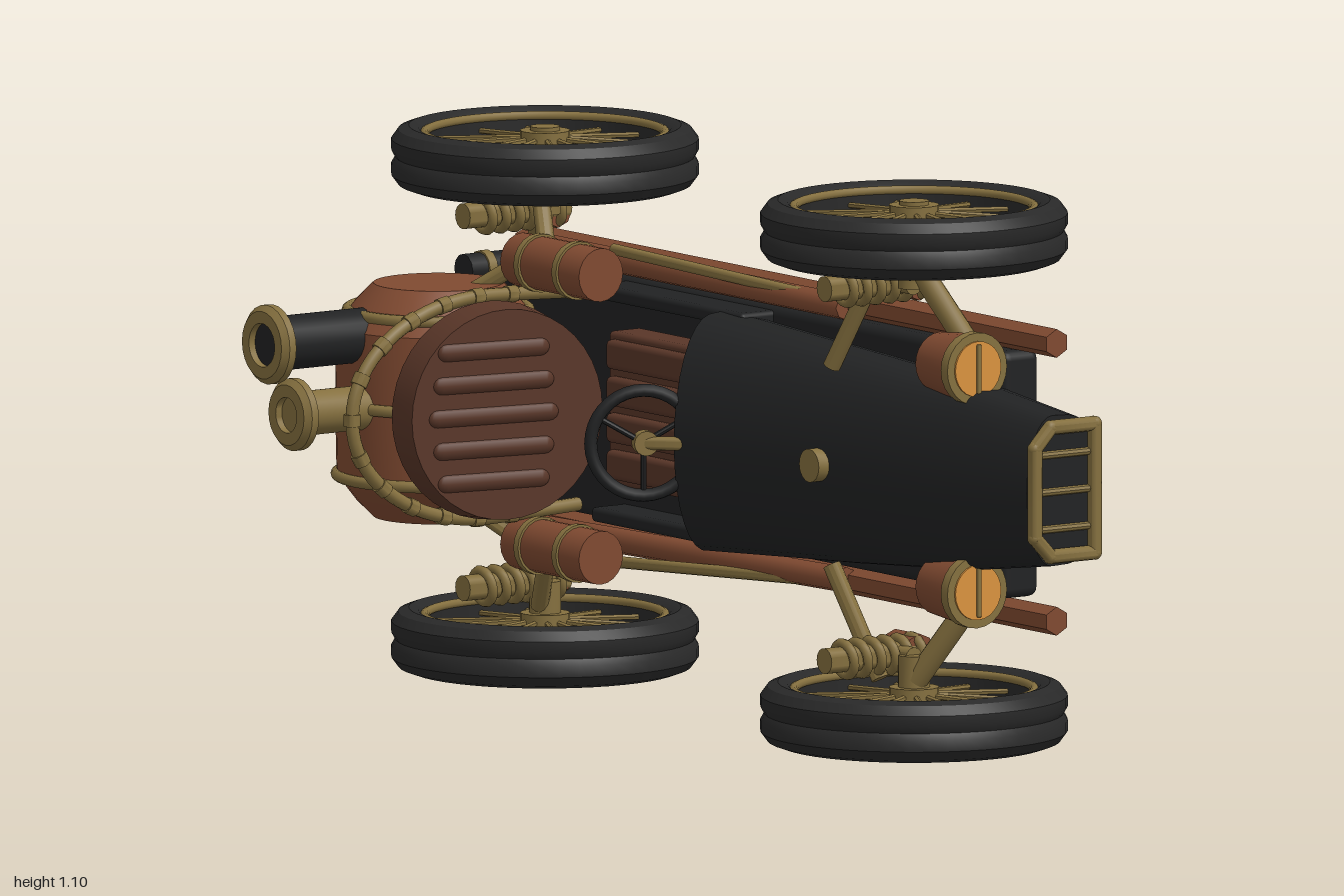
import * as THREE from 'three';
import { toCreasedNormals } from 'three/addons/utils/BufferGeometryUtils.js';
import { RoundedBoxGeometry } from 'three/addons/geometries/RoundedBoxGeometry.js';

const mat = (name, color) => {
  const m = new THREE.MeshStandardMaterial({ color });
  m.name = name;
  return m;
};
const black = mat('black paint', 0x212223);
const rubber = mat('rubber', 0x292929);
const brass = mat('brass', 0x85703f);
const copper = mat('copper', 0x804a31);
const leather = mat('leather', 0x593628);
const amber = mat('amber glass', 0xd9933f);

const V = (x, y, z) => new THREE.Vector3(x, y, z);
const UP = V(0, 1, 0);

function add(parent, name, geo, material, x = 0, y = 0, z = 0) {
  const m = new THREE.Mesh(geo, material);
  m.name = name;
  m.position.set(x, y, z);
  parent.add(m);
  return m;
}
// Cylinder between two points
function rod(parent, name, a, b, r, material, sides = 16, r2 = r) {
  const geo = toCreasedNormals(new THREE.CylinderGeometry(r2, r, a.distanceTo(b), sides), 0.8);
  const m = add(parent, name, geo, material);
  m.position.copy(a).add(b).multiplyScalar(0.5);
  m.quaternion.setFromUnitVectors(UP, b.clone().sub(a).normalize());
  return m;
}
const box = (parent, name, w, h, d, material, x, y, z, r = 0.01) =>
  add(parent, name, new RoundedBoxGeometry(w, h, d, 2, r), material, x, y, z);
// Turned shape from [radius, height] pairs
const lathe = (points, segments = 48) =>
  toCreasedNormals(new THREE.LatheGeometry(points.map(p => new THREE.Vector2(...p)), segments), 0.55);

// Spoked wheel, axle along z
function wheel(parent, name, x, s) {
  const g = new THREE.Group();
  g.name = name;
  g.position.set(x, -0.148, s * 0.486);
  const profile = [[0.236, -0.04], [0.252, -0.056], [0.272, -0.0625], [0.293, -0.055], [0.307, -0.036],
    [0.307, -0.014], [0.299, 0], [0.307, 0.014], [0.307, 0.036], [0.293, 0.055], [0.272, 0.0625],
    [0.252, 0.056], [0.236, 0.04], [0.236, -0.04]];
  add(g, 'tyre', lathe(profile), rubber).rotation.x = Math.PI / 2;
  for (const z of [-0.046, 0.046]) add(g, 'rimRing', new THREE.TorusGeometry(0.241, 0.009, 8, 48), brass, 0, 0, z);
  rod(g, 'hub', V(0, 0, -0.052), V(0, 0, 0.052), 0.05, brass, 20);
  rod(g, 'hubCap', V(0, 0, -0.06), V(0, 0, 0.06), 0.03, brass);
  for (let i = 0; i < 24; i++) {
    const a = i * Math.PI / 12, b = a + (i % 4 < 2 ? 0.05 : -0.05), z = i % 2 ? 0.035 : -0.035;
    rod(g, 'spoke', V(0.04 * Math.cos(a), 0.04 * Math.sin(a), z),
      V(0.24 * Math.cos(b), 0.24 * Math.sin(b), z * 0.6), 0.006, brass, 6);
  }
  parent.add(g);
}

// Tapering hood: domed top, rounded-square underside, raked rear edge
function hoodGeometry() {
  const M = 32, pos = [], idx = [];
  const sections = [[0, 0.238, 0.02, -0.13], [0.4, 0.208, -0.04, -0.15], [0.75, 0.183, -0.105, -0.18], [0.97, 0.152, -0.152, -0.215]];
  sections.forEach(([x, w, top, shoulder], i) => {
    for (let j = 0; j < M; j++) {
      const a = j / M * Math.PI * 2, c = Math.cos(a), s = Math.sin(a);
      const upper = j <= M / 2;
      const l = w * (upper ? c : Math.sign(c) * Math.pow(Math.abs(c), 0.6));
      const h = upper ? shoulder + (top - shoulder) * s : shoulder - (shoulder + 0.322) * Math.pow(-s, 0.6);
      const rake = i ? 0 : 0.13 * Math.min(1, (0.02 - h) / 0.22);
      pos.push(x - rake, h, l);
    }
  });
  const last = sections.length - 1;
  for (let i = 0; i < last; i++) for (let j = 0; j < M; j++) {
    const a = i * M + j, d = i * M + (j + 1) % M, b = a + M, c = d + M;
    idx.push(a, b, c, a, c, d);
  }
  for (let j = 1; j < M - 1; j++) {
    idx.push(0, j, j + 1, last * M, last * M + j + 1, last * M + j);
  }
  const g = new THREE.BufferGeometry();
  g.setAttribute('position', new THREE.Float32BufferAttribute(pos, 3));
  g.setIndex(idx);
  return toCreasedNormals(g, 0.5);
}

export function createModel() {
  const model = new THREE.Group();
  model.name = 'vintageRacer';
  // Built with x forward, y up, z sideways, then laid on its side
  const car = new THREE.Group();
  car.name = 'car';
  car.rotation.x = Math.PI / 2;
  car.position.y = 0.55;
  model.add(car);

  // Floor, tub and hood
  box(car, 'floor', 1.75, 0.09, 0.5, black, -0.125, -0.298, 0, 0.02);
  for (const s of [-1, 1]) box(car, 'tubSide', 0.52, 0.14, 0.03, black, -0.3, -0.245, s * 0.225);
  add(car, 'hood', hoodGeometry(), black);
  rod(car, 'fillerCap', V(0.405, -0.06, 0), V(0.405, -0.022, 0), 0.034, brass);

  // Radiator: tubular frame, dark core and bars
  const outline = [[-0.13, -0.308], [0.13, -0.308], [0.13, -0.2], [0.09, -0.162], [-0.09, -0.162], [-0.13, -0.2]];
  const core = new THREE.Shape(outline.map(p => new THREE.Vector2(...p)));
  add(car, 'radiatorCore', new THREE.ExtrudeGeometry(core, { depth: 0.02, bevelEnabled: false }), black, 0.96).rotation.y = Math.PI / 2;
  outline.forEach(([z, y], i) => {
    const [z2, y2] = outline[(i + 1) % outline.length];
    rod(car, 'radiatorFrame', V(0.984, y, z), V(0.984, y2, z2), 0.015, brass, 10);
    add(car, 'radiatorCorner', new THREE.SphereGeometry(0.0155, 10, 8), brass, 0.984, y, z);
  });
  for (const z of [-0.075, 0, 0.075]) rod(car, 'radiatorBar', V(0.982, -0.308, z), V(0.982, -0.165, z), 0.008, brass, 8);

  // Seat cushion and ribbed round backrest
  box(car, 'seatCushion', 0.33, 0.08, 0.31, leather, -0.32, -0.205, 0);
  for (let i = 0; i < 4; i++) box(car, 'cushionRib', 0.3, 0.03, 0.06, leather, -0.32, -0.16, -0.111 + i * 0.074, 0.012);
  const back = new THREE.Group();
  back.name = 'backrest';
  back.position.set(-0.56, 0.05, 0);
  back.rotation.z = 0.16;
  car.add(back);
  rod(back, 'backrestPad', V(-0.035, 0, 0), V(0.04, 0, 0), 0.22, leather, 40, 0.212);
  for (let i = -2; i <= 2; i++) {
    const len = 0.25 - Math.abs(i) * 0.02;
    const rib = add(back, 'backrestRib', new THREE.CapsuleGeometry(0.02, len, 4, 8), leather, 0.036, 0.03, i * 0.066);
    rib.scale.x = 0.7;
  }

  // Hoop around the backrest with collars
  const hoop = [V(-0.635, -0.2, 0.215)];
  for (let i = 0; i <= 24; i++) {
    const a = i / 24 * Math.PI;
    hoop.push(V(-0.635, 0.03 + 0.325 * Math.sin(a), 0.224 * Math.cos(a)));
  }
  hoop.push(V(-0.635, -0.2, -0.215));
  const curve = new THREE.CatmullRomCurve3(hoop);
  add(car, 'hoop', new THREE.TubeGeometry(curve, 60, 0.014, 10), brass);
  for (let i = 2; i < 15; i++) {
    const p = curve.getPointAt(i / 16), t = curve.getTangentAt(i / 16).multiplyScalar(0.012);
    rod(car, 'hoopCollar', p.clone().sub(t), p.clone().add(t), 0.017, brass, 10);
  }

  // Steering wheel
  const steer = new THREE.Group();
  steer.name = 'steeringWheel';
  steer.position.set(-0.045, 0.062, 0);
  steer.quaternion.setFromUnitVectors(V(0, 0, 1), V(0.87, 0.5, 0).normalize());
  car.add(steer);
  add(steer, 'steeringRim', new THREE.TorusGeometry(0.106, 0.013, 10, 36), black);
  for (let i = 0; i < 3; i++) {
    const a = Math.PI * (0.5 + i * 2 / 3);
    rod(steer, 'steeringSpoke', V(0, 0, 0), V(0.1 * Math.cos(a), 0.1 * Math.sin(a), 0), 0.006, black, 8);
  }
  rod(car, 'steeringHub', V(-0.055, 0.055, 0), V(-0.03, 0.065, 0), 0.025, brass);
  rod(car, 'steeringColumn', V(-0.04, 0.06, 0), V(0.04, -0.02, 0), 0.014, brass);

  // Boiler drum with domed ends, bands and funnels
  const drum = [[0, -0.235], [0.13, -0.235], [0.165, -0.2], [0.203, -0.15], [0.206, 0],
    [0.203, 0.15], [0.165, 0.2], [0.13, 0.235], [0, 0.235]];
  add(car, 'boiler', lathe(drum, 40), copper, -0.78, 0.04, 0).rotation.x = Math.PI / 2;
  for (const [z, r] of [[-0.18, 0.181], [0, 0.207], [0.15, 0.203]]) {
    add(car, 'boilerBand', new THREE.TorusGeometry(r, 0.012, 10, 48), brass, -0.78, 0.04, z);
  }
  const funnel = (x, z, top, r, flange, material) => {
    const inner = r * 0.8;
    rod(car, 'funnelPipe', V(x, 0.18, z), V(x, top - 0.015, z), r, material, 20);
    const pts = [[inner, top - 0.045], [r, top - 0.045], [flange, top - 0.028], [flange, top - 0.012],
      [flange - 0.012, top], [inner, top], [inner, top - 0.045]];
    add(car, 'funnelFlange', lathe(pts, 24), brass, x, 0, z);
  };
  funnel(-0.805, -0.14, 0.455, 0.055, 0.08, black);
  funnel(-0.77, 0, 0.42, 0.045, 0.073, brass);

  for (const s of [-1, 1]) {
    const side = s < 0 ? 'right' : 'left';
    const P = (x, y, z) => V(x, y, s * z);
    wheel(car, side + 'RearWheel', -0.677, s);
    wheel(car, side + 'FrontWheel', 0.589, s);

    // Frame rails, side pipes and canister
    rod(car, 'frameRail', P(-0.85, -0.29, 0.28), P(0.88, -0.29, 0.28), 0.029, copper, 6);
    rod(car, 'upperRail', P(-0.86, -0.225, 0.285), P(0.2, -0.26, 0.275), 0.026, copper, 8);
    rod(car, 'sidePipe', P(-0.5, -0.19, 0.315), P(0.06, -0.25, 0.288), 0.012, brass, 10);
    rod(car, 'canister', P(-0.66, -0.08, 0.285), P(-0.39, -0.08, 0.285), 0.054, copper, 20);
    for (const x of [-0.6, -0.47]) rod(car, 'canisterBand', P(x - 0.008, -0.08, 0.285), P(x + 0.008, -0.08, 0.285), 0.059, brass, 20);
    rod(car, 'canisterPipe', P(-0.65, -0.08, 0.285), P(-0.76, 0, 0.2), 0.018, brass, 12);
    rod(car, 'rearPost', P(-0.945, -0.3, 0.225), P(-0.945, -0.14, 0.225), 0.032, black, 12);
    rod(car, 'rearPostRing', P(-0.945, -0.2, 0.225), P(-0.945, -0.18, 0.225), 0.036, brass, 12);

    // Headlamp
    rod(car, 'lampBody', P(0.64, -0.175, 0.225), P(0.75, -0.175, 0.225), 0.06, copper, 24, 0.07);
    rod(car, 'lampRing', P(0.745, -0.175, 0.225), P(0.768, -0.175, 0.225), 0.073, brass, 24);
    rod(car, 'lampGlass', P(0.766, -0.175, 0.225), P(0.772, -0.175, 0.225), 0.056, amber, 24);
    box(car, 'lampBar', 0.008, 0.008, 0.1, brass, 0.774, -0.175, s * 0.225, 0.002);

    // Suspension arms, stub axles and springs
    rod(car, 'frontUpperArm', P(0.43, -0.06, 0.2), P(0.54, -0.1, 0.42), 0.018, brass, 12);
    rod(car, 'frontLowerArm', P(0.74, -0.235, 0.19), P(0.6, -0.145, 0.42), 0.024, brass, 12);
    rod(car, 'rearUpperArm', P(-0.56, -0.08, 0.24), P(-0.67, -0.13, 0.42), 0.018, brass, 12);
    rod(car, 'rearLowerArm', P(-0.84, -0.24, 0.24), P(-0.69, -0.15, 0.42), 0.02, brass, 12);
    for (const [wx, sx] of [[-0.677, -0.71], [0.589, 0.53]]) {
      rod(car, 'stubAxle', P(wx, -0.148, 0.37), P(wx, -0.148, 0.45), 0.032, brass);
      rod(car, 'steeringLink', P(sx, -0.148, 0.375), P(wx, -0.148, 0.375), 0.02, brass, 12);
      rod(car, 'damper', P(sx, -0.22, 0.375), P(sx, 0.03, 0.375), 0.026, brass);
      for (let i = 0; i < 6; i++) {
        add(car, 'springCoil', new THREE.TorusGeometry(0.033, 0.01, 8, 20), brass, sx, -0.19 + i * 0.034, s * 0.375).rotation.x = Math.PI / 2 + 0.15;
      }
      rod(car, 'damperMount', P(sx - 0.065, -0.19, 0.37), P(sx + 0.02, -0.19, 0.37), 0.034, copper, 8);
    }
  }
  return model;
}
